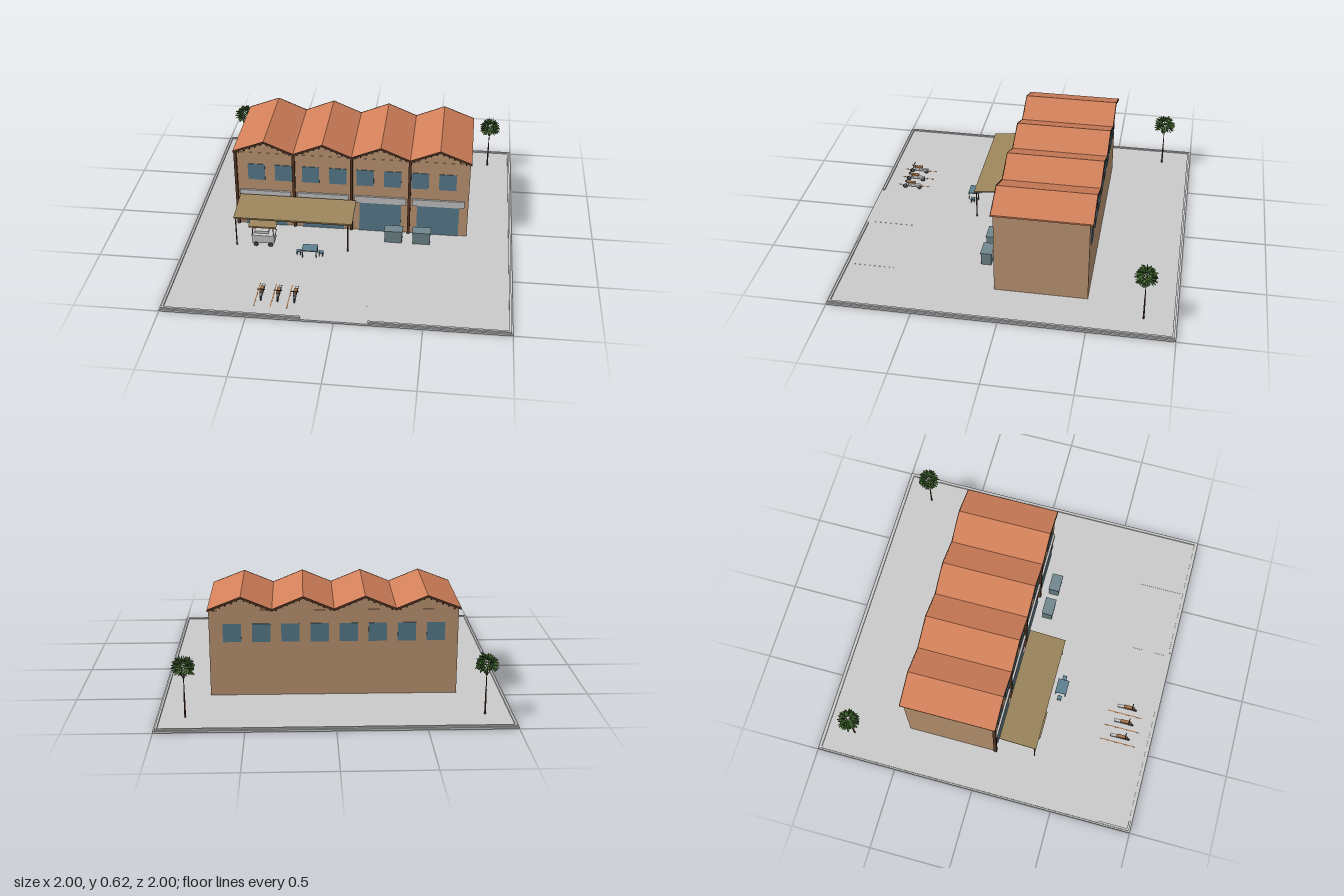
import * as THREE from 'three';
import { mergeGeometries } from 'three/addons/utils/BufferGeometryUtils.js';

const mat = (color, side = THREE.FrontSide) => new THREE.MeshStandardMaterial({ color, side });
const GREY = mat(0xcccccc), WALL = mat(0xc39b77), ROOF = mat(0xd2805a), TRIM = mat(0x5a3a28),
  BLUE = mat(0x5c8191), CANVAS = mat(0x9c865c), BIN = mat(0x71898f), WOOD = mat(0xa8754a),
  DARK = mat(0x4a4a4a), LEAF = mat(0x4f7a3a, THREE.DoubleSide), LEAF2 = mat(0x3a5c2c, THREE.DoubleSide);

const GROUND = 0.012;

function add(parent, name, geo, material, x = 0, y = 0, z = 0) {
  const m = new THREE.Mesh(geo, material);
  m.name = name;
  m.position.set(x, y, z);
  parent.add(m);
  return m;
}
// box given by its extents
function box(parent, name, material, x0, x1, y0, y1, z0, z1) {
  return add(parent, name, new THREE.BoxGeometry(x1 - x0, y1 - y0, z1 - z0), material,
    (x0 + x1) / 2, (y0 + y1) / 2, (z0 + z1) / 2);
}
// round bar between two points
function bar(parent, name, material, a, b, r = 0.003, r2 = r) {
  const A = new THREE.Vector3(...a), B = new THREE.Vector3(...b), d = B.clone().sub(A);
  const m = add(parent, name, new THREE.CylinderGeometry(r2, r, d.length(), 8), material);
  m.position.copy(A).add(B).multiplyScalar(0.5);
  m.quaternion.setFromUnitVectors(new THREE.Vector3(0, 1, 0), d.normalize());
  return m;
}
function group(parent, name, x = 0, y = 0, z = 0) {
  const g = new THREE.Group();
  g.name = name;
  g.position.set(x, y, z);
  parent.add(g);
  return g;
}
// polygon in x-y, extruded from z0 to z1
function prism(parent, name, material, pts, z0, z1) {
  const shape = new THREE.Shape(pts.map(p => new THREE.Vector2(...p)));
  return add(parent, name, new THREE.ExtrudeGeometry(shape, { depth: z1 - z0, bevelEnabled: false }), material, 0, 0, z0);
}

function buildYard(root) {
  const g = group(root, 'yard');
  box(g, 'groundSlab', GREY, -1, 1, 0, GROUND, -1, 1);
  for (const s of [-1, 1]) {
    box(g, 'sideCurb', GREY, s * 0.985 - 0.006, s * 0.985 + 0.006, GROUND, 0.021, -0.991, 0.991);
    box(g, 'frontCurb', GREY, s * 0.585 - 0.394, s * 0.585 + 0.394, GROUND, 0.021, 0.979, 0.991);
  }
  box(g, 'backCurb', GREY, -0.979, 0.979, GROUND, 0.021, -0.991, -0.979);
  for (const x of [-0.47, -0.375, -0.28])
    box(g, 'parkingLine', WOOD, x - 0.003, x + 0.003, GROUND, GROUND + 0.001, 0.69, 0.91);
  for (const x of [0.17, 0.615])
    box(g, 'pavingJoint', GREY, x - 0.002, x + 0.002, GROUND, GROUND + 0.001, 0.7, 0.96);
}

function buildBuilding(root) {
  const g = group(root, 'rowBuilding');
  const units = [-0.54, -0.18, 0.177, 0.535], zF = 0.07, zB = -0.48;
  box(g, 'walls', WALL, -0.722, 0.72, GROUND, 0.53, zB, zF);

  // zigzag roof line, offset vertically
  const line = (dy, x0 = -0.733, x1 = 0.727) => {
    const p = [[x0, 0.537 + dy]];
    units.forEach((u, i) => p.push([u, 0.612 + dy], [i < 3 ? (u + units[i + 1]) / 2 : x1, 0.537 + dy]));
    return p;
  };
  prism(g, 'gables', WALL, [...line(-0.006, -0.718, 0.716), [0.716, 0.525], [-0.718, 0.525]], zB + 0.002, zF - 0.002);
  const slab = (top, bottom) => [...line(top), ...line(bottom).reverse()];
  prism(g, 'roof', ROOF, slab(0.003, -0.007), zB - 0.015, zF + 0.01);
  for (const z of [zB - 0.02, zF + 0.01]) prism(g, 'vergeTrim', TRIM, slab(0.004, -0.009), z, z + 0.005);
  // purlin ends under the verges
  for (const u of units) for (const s of [-1, 1]) for (let k = 0; k < 5; k++) {
    const x = u + s * (0.02 + k * 0.034), y = 0.602 - 0.417 * (0.02 + k * 0.034);
    for (const z of [zB - 0.015, zF]) box(g, 'purlinEnd', TRIM, x - 0.003, x + 0.003, y - 0.007, y, z, z + 0.015);
  }

  for (let i = 0; i < 8; i++) {
    const x = -0.592 + i * 0.1685;
    box(g, 'frontWindow', BLUE, x - 0.053, x + 0.053, 0.34, 0.45, zF - 0.01, zF + 0.004);
    box(g, 'backWindow', BLUE, x - 0.053, x + 0.053, 0.34, 0.45, zB - 0.004, zB + 0.01);
  }
  for (const u of units) {
    box(g, 'shutterDoor', BLUE, u - 0.13, u + 0.13, GROUND, 0.222, zF - 0.01, zF + 0.005);
    box(g, 'signBoard', GREY, u - 0.16, u + 0.16, 0.22, 0.265, zF, zF + 0.012);
    box(g, 'pilaster', TRIM, u - 0.188, u - 0.171, GROUND, 0.535, zF - 0.005, zF + 0.014);
  }
}

function buildCanopy(root) {
  const g = group(root, 'canopy');
  const sheet = add(g, 'canopySheet', new THREE.BoxGeometry(0.725, 0.008, 0.232), CANVAS, -0.333, 0.226, 0.21);
  sheet.rotation.x = 0.108;
  box(g, 'frontBeam', TRIM, -0.69, 0.025, 0.203, 0.211, 0.312, 0.32);
  for (const x of [-0.685, 0.003]) bar(g, 'canopyPost', TRIM, [x, GROUND, 0.316], [x, 0.208, 0.316], 0.004);
}

function buildCart(root) {
  const g = group(root, 'foodCart', -0.52, 0, 0.28);
  box(g, 'cartBody', GREY, -0.068, 0.068, 0.035, 0.085, -0.037, 0.037);
  box(g, 'counter', GREY, -0.072, 0.072, 0.085, 0.091, -0.041, 0.041);
  box(g, 'displayCase', GREY, -0.055, 0.03, 0.091, 0.108, -0.017, 0.017);
  for (const x of [-0.045, 0.045]) for (const z of [-0.037, 0.037]) {
    const w = add(g, 'cartWheel', new THREE.CylinderGeometry(0.015, 0.015, 0.006, 16), DARK, x, GROUND + 0.015, z);
    w.rotation.x = Math.PI / 2;
  }
  for (const x of [-0.064, 0.064]) for (const s of [-1, 1])
    bar(g, 'roofPost', TRIM, [x, 0.09, s * 0.036], [x, 0.171 - s * 0.008, s * 0.036], 0.0025);
  const roof = add(g, 'cartRoof', new THREE.BoxGeometry(0.17, 0.006, 0.11), CANVAS, 0, 0.172, -0.003);
  roof.rotation.x = 0.22;
  box(g, 'roofValance', WOOD, -0.085, 0.085, 0.153, 0.163, 0.047, 0.051);
}

function buildTable(root) {
  const g = group(root, 'tableSet', -0.222, 0, 0.375);
  const legged = (name, x, w, d, h) => {
    box(g, name + 'Top', BLUE, x - w, x + w, h - 0.006, h, -d, d);
    for (const sx of [-1, 1]) for (const sz of [-1, 1])
      bar(g, name + 'Leg', BLUE, [x + sx * (w - 0.004), GROUND, sz * (d - 0.004)], [x + sx * (w - 0.004), h - 0.005, sz * (d - 0.004)], 0.0025);
  };
  legged('table', 0, 0.046, 0.035, 0.064);
  for (const s of [-1, 1]) legged('stool', s * 0.068, 0.014, 0.013, 0.04);
}

function buildBins(root) {
  for (const x of [0.27, 0.443]) {
    const g = group(root, 'storageBin', x, 0, 0.16);
    box(g, 'binBody', BIN, -0.053, 0.053, GROUND, 0.088, -0.031, 0.031);
    box(g, 'binLid', BIN, -0.057, 0.057, 0.088, 0.095, -0.035, 0.035);
  }
}

function buildMotorbike(root, x) {
  const g = group(root, 'motorbike', x, GROUND, 0.8);
  for (const z of [-0.043, 0.052]) {
    const w = add(g, 'wheel', new THREE.TorusGeometry(0.012, 0.0035, 8, 20), DARK, 0, 0.0155, z);
    w.rotation.y = Math.PI / 2;
    const hub = bar(g, 'hub', GREY, [-0.005, 0.0155, z], [0.005, 0.0155, z], 0.004);
    hub.name = 'wheelHub';
  }
  box(g, 'chassis', GREY, -0.007, 0.007, 0.02, 0.032, -0.045, 0.032);
  box(g, 'rearFender', GREY, -0.009, 0.009, 0.03, 0.036, -0.058, -0.01);
  box(g, 'seat', WOOD, -0.01, 0.01, 0.042, 0.052, -0.018, 0.035);
  box(g, 'seatMount', GREY, -0.006, 0.006, 0.032, 0.042, -0.012, 0.025);
  for (const s of [-1, 1]) bar(g, 'fork', GREY, [s * 0.006, 0.0155, 0.052], [s * 0.006, 0.066, 0.036], 0.002);
  bar(g, 'handlebar', DARK, [-0.023, 0.067, 0.036], [0.023, 0.067, 0.036], 0.003);
  add(g, 'headlight', new THREE.SphereGeometry(0.007, 12, 8), WOOD, 0, 0.054, 0.045);
}

function buildTree(root, x, seed) {
  const g = group(root, 'tree', x, 0, -0.81);
  const rand = () => (seed = (seed * 16807) % 2147483647) / 2147483647;
  bar(g, 'trunk', TRIM, [0, GROUND, 0], [0, 0.16, 0], 0.005, 0.004);
  bar(g, 'upperTrunk', TRIM, [0, 0.16, 0], [0, 0.28, 0], 0.003, 0.002);
  const sets = [[], []];
  // pointed leaves fanned out over a dome
  for (let i = 0; i < 170; i++) {
    const a = i * 2.39996, v = -0.45 + 1.4 * (i + 0.5) / 170, h = Math.sqrt(1 - v * v), k = 0.55 + 0.3 * rand();
    const leaf = new THREE.CircleGeometry(0.5, 6);
    leaf.scale(0.013, 0.036, 1);
    const o = new THREE.Object3D();
    const dir = new THREE.Vector3(Math.cos(a) * h, v * 0.8 - 0.3, Math.sin(a) * h).normalize();
    o.quaternion.setFromUnitVectors(new THREE.Vector3(0, 1, 0), dir);
    o.rotateY(rand() * Math.PI);
    o.position.set(Math.cos(a) * h * k * 0.066, 0.305 + v * k * 0.076, Math.sin(a) * h * k * 0.066);
    o.updateMatrix();
    sets[i % 2].push(leaf.applyMatrix4(o.matrix));
  }
  sets.forEach((s, i) => add(g, 'foliage', mergeGeometries(s), i ? LEAF2 : LEAF));
  for (let i = 0; i < 6; i++)
    bar(g, 'branch', TRIM, [0, 0.24, 0], [Math.cos(i * 1.047) * 0.04, 0.31, Math.sin(i * 1.047) * 0.04], 0.0015);
}

export function createModel() {
  const root = new THREE.Group();
  root.name = 'shopRow';
  buildYard(root);
  buildBuilding(root);
  buildCanopy(root);
  buildCart(root);
  buildTable(root);
  buildBins(root);
  for (const x of [-0.438, -0.34, -0.243]) buildMotorbike(root, x);
  buildTree(root, -0.84, 11);
  buildTree(root, 0.84, 47);
  return root;
}
